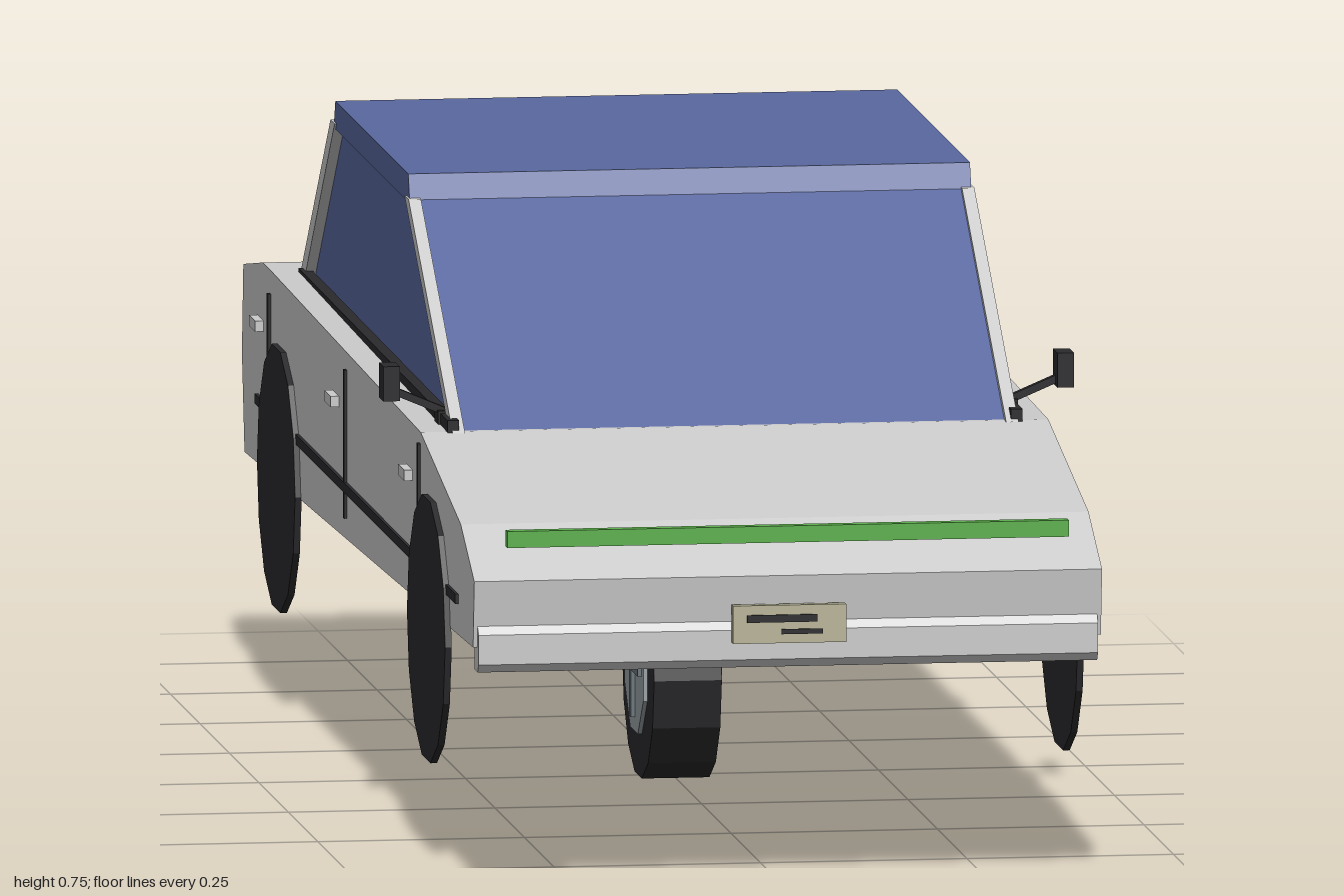
import * as THREE from 'three';

const paint = (color) => new THREE.MeshStandardMaterial({ color });
const GREY = paint(0xcccccc);
const BLACK = paint(0x2a2a2d);
const GLASS = paint(0x5a689f);
const GREEN = paint(0x5cb04c);
const RED = paint(0x9c2f26);
const PLATE = paint(0xb8b498);
const HUB = paint(0x9aa2a6);
const CROSS = paint(0x6c767c);

export function createModel() {
  const car = new THREE.Group();
  car.name = 'car';

  const add = (name, geometry, material) => {
    const mesh = new THREE.Mesh(geometry, material);
    mesh.name = name;
    car.add(mesh);
    return mesh;
  };
  // box from its size and centre
  const box = (name, material, w, h, d, x, y, z) => {
    const mesh = add(name, new THREE.BoxGeometry(w, h, d), material);
    mesh.position.set(x, y, z);
    return mesh;
  };
  // side profile of [z, y] points, extruded across the car
  const across = (name, points, width, material, x = 0) => {
    const shape = new THREE.Shape(points.map(([z, y]) => new THREE.Vector2(z, y)));
    const geometry = new THREE.ExtrudeGeometry(shape, { depth: width, bevelEnabled: false });
    geometry.translate(0, 0, -width / 2).rotateY(-Math.PI / 2).translate(x, 0, 0);
    return add(name, geometry, material);
  };
  // faceted disc with its axle along x
  const disc = (name, radius, width, sides, material, x, y, z) => {
    const geometry = new THREE.CylinderGeometry(radius, radius, width, sides).toNonIndexed();
    geometry.computeVertexNormals();
    const mesh = add(name, geometry.rotateZ(Math.PI / 2), material);
    mesh.position.set(x, y, z);
    return mesh;
  };

  // wedge-shaped lower body
  across('body', [
    [0.975, 0.302], [0.985, 0.383], [0.87, 0.436], [0.53, 0.499],
    [-0.72, 0.513], [-0.81, 0.513], [-0.973, 0.488], [-0.985, 0.38], [-0.963, 0.262],
  ], 0.76, GREY);

  // glazed cabin and roof slab
  across('cabinGlass', [[0.53, 0.495], [0.15, 0.73], [-0.48, 0.73], [-0.735, 0.495]], 0.66, GLASS);
  across('roof', [[0.158, 0.722], [0.145, 0.756], [-0.473, 0.756], [-0.487, 0.722]], 0.68, GLASS);

  // bumpers
  across('frontBumper', [
    [0.95, 0.272], [0.978, 0.272], [0.986, 0.282], [0.986, 0.318], [0.978, 0.328], [0.95, 0.328],
  ], 0.75, GREY);
  across('rearBumper', [
    [-0.95, 0.264], [-0.975, 0.264], [-0.985, 0.275], [-0.988, 0.32], [-0.978, 0.33], [-0.95, 0.33],
  ].reverse(), 0.75, GREY);

  // light strips
  box('frontLightStrip', GREEN, 0.68, 0.02, 0.015, 0, 0.433, 0.978);
  box('rearLightStrip', RED, 0.68, 0.02, 0.016, 0, 0.45, -0.982);

  // plates with two plain bars
  for (const [end, s, y, z] of [['front', 1, 0.326, 0.992], ['rear', -1, 0.38, -0.992]]) {
    box(end + 'Plate', PLATE, 0.137, 0.046, 0.012, 0, y, z);
    box(end + 'PlateBar', BLACK, 0.085, 0.009, 0.004, -0.009 * s, y + 0.007, z + 0.006 * s);
    box(end + 'PlateBar', BLACK, 0.05, 0.006, 0.004, 0.015 * s, y - 0.009, z + 0.006 * s);
  }

  for (const s of [1, -1]) {
    const side = s > 0 ? 'left' : 'right';

    // sloping pillars
    across(side + 'FrontPillar', [[0.54, 0.498], [0.505, 0.498], [0.13, 0.728], [0.165, 0.728]],
      0.015, GREY, s * 0.335);
    across(side + 'RearPillar', [[-0.715, 0.508], [-0.752, 0.508], [-0.497, 0.73], [-0.462, 0.73]],
      0.015, GREY, s * 0.335);

    // black strip under the side window
    across(side + 'WindowTrim', [[0.535, 0.497], [0.535, 0.513], [-0.73, 0.517], [-0.73, 0.507]],
      0.014, BLACK, s * 0.341);

    // thin wheel discs
    disc(side + 'FrontWheel', 0.162, 0.008, 14, BLACK, s * 0.383, 0.275, 0.625);
    disc(side + 'RearWheel', 0.162, 0.008, 14, BLACK, s * 0.383, 0.275, -0.647);

    // door seams, rubbing strip and handles
    box(side + 'SideStrip', BLACK, 0.006, 0.012, 1.7, s * 0.381, 0.343, 0);
    for (const [z, low, high] of [[0.525, 0.34, 0.485], [-0.1, 0.305, 0.485], [-0.745, 0.34, 0.485]]) {
      box(side + 'DoorSeam', BLACK, 0.005, high - low, 0.01, s * 0.381, (low + high) / 2, z);
    }
    for (const z of [0.435, -0.19, -0.828]) {
      box(side + 'DoorHandle', GREY, 0.012, 0.013, 0.052, s * 0.384, 0.437, z);
    }

    // door mirror on an angled arm
    box(side + 'MirrorBase', BLACK, 0.012, 0.016, 0.03, s * 0.345, 0.508, 0.46);
    const arm = box(side + 'MirrorArm', BLACK, 0.065, 0.009, 0.01, s * 0.372, 0.527, 0.46);
    arm.rotation.z = s * 0.4;
    box(side + 'Mirror', BLACK, 0.02, 0.042, 0.038, s * 0.408, 0.551, 0.462);
  }

  // spare wheel standing under the floor
  const spareY = 0.134;
  disc('spareTyre', 0.136, 0.082, 14, BLACK, 0, spareY, 0);
  disc('spareRim', 0.085, 0.092, 8, HUB, 0, spareY, 0).rotation.x = Math.PI / 8;
  box('spareHubBar', CROSS, 0.102, 0.13, 0.016, 0, spareY + 0.004, 0);
  box('spareHubBar', CROSS, 0.102, 0.016, 0.13, 0, spareY + 0.004, 0);

  return car;
}
